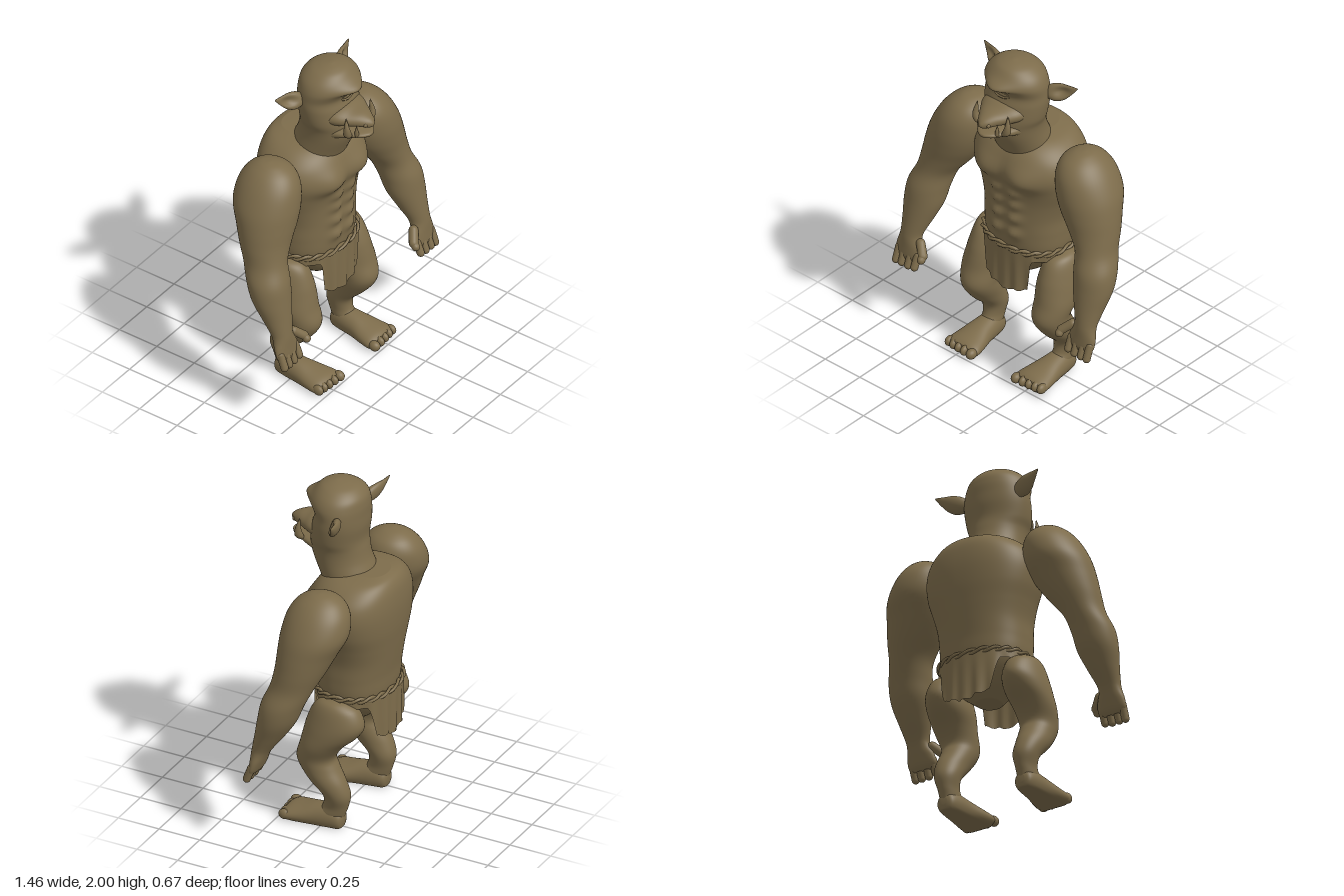
import * as THREE from 'three';

const skin = new THREE.MeshStandardMaterial({ color: 0x7d6c4b, side: THREE.DoubleSide });
skin.name = 'olive brown';

const bump = (d, s) => Math.exp(-(d * d) / (s * s));
const spow = (v, p) => Math.sign(v) * Math.pow(Math.abs(v), p);
const sym = (rows) => rows.map(([y, w, z0, z1]) => [y, -w, w, z0, z1]);

function grid(points, rings, seg, capped) {
  const idx = [];
  for (let i = 0; i < rings - 1; i++) for (let j = 0; j < seg; j++) {
    const a = i * seg + j, b = i * seg + (j + 1) % seg, c = a + seg, d = b + seg;
    idx.push(a, c, b, b, c, d);
  }
  if (capped) for (let j = 0; j < seg; j++) {
    const k = (j + 1) % seg, t = (rings - 1) * seg, n = rings * seg;
    idx.push(n, j, k, n + 1, t + k, t + j);
  }
  const g = new THREE.BufferGeometry();
  g.setAttribute('position', new THREE.Float32BufferAttribute(points.flat(), 3));
  g.setIndex(idx);
  g.computeVertexNormals();
  return g;
}

// Smooth skin over rows of [height, x min, x max, depth min, depth max]
function loft(rows, { seg = 40, steps = 5, n = 2, axis = 'y', shape = (p) => p } = {}) {
  if (rows[0][0] > rows[rows.length - 1][0]) rows = [...rows].reverse();
  const at = (i) => rows[Math.max(0, Math.min(rows.length - 1, i))];
  const pts = [], count = (rows.length - 1) * steps + 1;
  const place = (x, h, d) => shape(axis === 'y' ? [x, h, d] : [x, d, h]);
  const sample = (k) => {
    const i = Math.min(Math.floor(k / steps), rows.length - 2), t = k / steps - i;
    return at(i).map((b, q) => {
      const a = at(i - 1)[q], c = at(i + 1)[q], d = at(i + 2)[q];
      return b + 0.5 * t * (c - a + t * (2 * a - 5 * b + 4 * c - d + t * (3 * (b - c) + d - a)));
    });
  };
  for (let k = 0; k < count; k++) {
    const [h, x0, x1, d0, d1] = sample(k);
    for (let j = 0; j < seg; j++) {
      const a = (j / seg) * Math.PI * 2, s = spow(Math.sin(a), 2 / n);
      const x = (x0 + x1) / 2 + (x1 - x0) / 2 * spow(Math.cos(a), 2 / n);
      pts.push(place(x, h, (d0 + d1) / 2 + (d1 - d0) / 2 * (axis === 'y' ? s : -s)));
    }
  }
  for (const r of [rows[0], rows[rows.length - 1]]) pts.push(place((r[1] + r[2]) / 2, r[0], (r[3] + r[4]) / 2));
  return grid(pts, count, seg, true);
}

function mirrored(geo) {
  const g = geo.clone().scale(-1, 1, 1), ix = g.index.array;
  for (let i = 0; i < ix.length; i += 3) [ix[i], ix[i + 1]] = [ix[i + 1], ix[i]];
  g.computeVertexNormals();
  return g;
}

const ball = (x, y, z, rx, ry, rz) => new THREE.SphereGeometry(1, 20, 14).scale(rx, ry, rz).translate(x, y, z);
const UP = new THREE.Vector3(0, 1, 0);
function capsule(a, b, r) {
  const p = new THREE.Vector3(...a), q = new THREE.Vector3(...b), d = q.clone().sub(p);
  return new THREE.CapsuleGeometry(r, d.length(), 6, 14)
    .applyQuaternion(new THREE.Quaternion().setFromUnitVectors(UP, d.clone().normalize()))
    .translate(...p.add(q).multiplyScalar(0.5).toArray());
}
const tube = (pts, r) => new THREE.TubeGeometry(
  new THREE.CatmullRomCurve3(pts.map((p) => new THREE.Vector3(...p))), 24, r, 8);

export function createModel() {
  const model = new THREE.Group();
  const add = (name, geo) => {
    const m = new THREE.Mesh(geo, skin);
    m.name = name;
    model.add(m);
  };
  const pair = (name, geo) => { add('left' + name, geo); add('right' + name, mirrored(geo)); };

  // Torso with chest and stomach muscles
  add('torso', loft(sym([
    [0.58, 0.07, -0.13, 0.02], [0.64, 0.15, -0.2, 0.06], [0.72, 0.22, -0.25, 0.1], [0.8, 0.255, -0.275, 0.125],
    [0.9, 0.262, -0.285, 0.13], [1.0, 0.266, -0.3, 0.13], [1.1, 0.29, -0.315, 0.13], [1.2, 0.322, -0.328, 0.14],
    [1.3, 0.335, -0.333, 0.155], [1.38, 0.315, -0.328, 0.14], [1.44, 0.265, -0.315, 0.11], [1.48, 0.2, -0.29, 0.06],
    [1.5, 0.11, -0.25, 0],
  ]), {
    seg: 96, steps: 8, n: 2.3, shape: ([x, y, z]) => {
      if (z < 0) return [x, y, z];
      const ax = Math.abs(x);
      let d = 0.045 * bump(ax - 0.13, 0.11) * bump(y - 1.28, y < 1.28 ? 0.06 : 0.1);
      for (const h of [0.9, 1.0, 1.09, 1.17]) d += 0.024 * bump(ax - 0.06, 0.045) * bump(y - h, 0.035);
      return [x, y, z + d * Math.min(1, z / 0.06)];
    },
  }));

  // Neck and skull with an overhanging brow
  add('headAndNeck', loft(sym([
    [1.36, 0.165, -0.15, 0.1], [1.45, 0.165, -0.17, 0.14], [1.55, 0.16, -0.135, 0.185], [1.62, 0.165, -0.12, 0.2],
    [1.68, 0.185, -0.112, 0.195], [1.76, 0.195, -0.12, 0.18], [1.82, 0.193, -0.12, 0.165], [1.88, 0.187, -0.118, 0.19],
    [1.93, 0.162, -0.105, 0.18], [1.97, 0.115, -0.065, 0.15], [1.99, 0.065, -0.01, 0.11], [2.0, 0.01, 0.045, 0.065],
  ]), {
    seg: 72, steps: 8, shape: ([x, y, z]) => [x, y,
      z > 0.05 ? z + 0.05 * bump(x, 0.09) * bump(y - 1.89, y < 1.89 ? 0.02 : 0.035) * Math.min(1, (z - 0.05) / 0.06) : z],
  }));

  // Snout, lower jaw and nostrils
  add('snout', loft([
    [0.05, -0.16, 0.16, 1.63, 1.79], [0.16, -0.135, 0.135, 1.655, 1.78], [0.22, -0.1, 0.1, 1.665, 1.762],
    [0.27, -0.066, 0.066, 1.672, 1.75], [0.31, -0.038, 0.038, 1.675, 1.732], [0.33, -0.016, 0.016, 1.685, 1.715],
    [0.336, -0.003, 0.003, 1.697, 1.703],
  ], { axis: 'z' }));
  add('lowerJaw', loft([
    [0.08, -0.14, 0.14, 1.55, 1.66], [0.18, -0.115, 0.115, 1.585, 1.655], [0.24, -0.088, 0.088, 1.603, 1.65],
    [0.29, -0.06, 0.06, 1.612, 1.645], [0.318, -0.025, 0.025, 1.618, 1.638], [0.324, -0.004, 0.004, 1.625, 1.63],
  ], { axis: 'z', n: 2.4 }));
  pair('Nostril', ball(0.034, 1.7, 0.303, 0.012, 0.014, 0.014));

  // Tusks and small teeth
  pair('Tusk', loft([
    [1.625, 0.07, 0.105, 0.215, 0.25], [1.65, 0.08, 0.13, 0.215, 0.262], [1.69, 0.098, 0.132, 0.222, 0.258],
    [1.73, 0.104, 0.122, 0.226, 0.244], [1.76, 0.109, 0.111, 0.23, 0.232],
  ], { seg: 14 }));
  pair('Tooth', loft([
    [1.63, 0.05, 0.075, 0.255, 0.28], [1.66, 0.055, 0.075, 0.258, 0.28], [1.7, 0.066, 0.068, 0.268, 0.27],
  ], { seg: 12 }));

  // Single eye with lids
  add('eye', ball(0, 1.828, 0.155, 0.05, 0.018, 0.02));
  add('upperLid', tube([[-0.065, 1.828, 0.15], [-0.03, 1.844, 0.168], [0, 1.848, 0.172], [0.03, 1.844, 0.168], [0.065, 1.828, 0.15]], 0.007));
  add('lowerLid', tube([[-0.065, 1.826, 0.15], [-0.03, 1.811, 0.166], [0, 1.808, 0.169], [0.03, 1.811, 0.166], [0.065, 1.826, 0.15]], 0.006));

  // Leaf-shaped ears, hollowed at the front
  const ear = loft([
    [0, -0.03, 0.035, -0.025, 0.025], [0.05, -0.042, 0.058, -0.032, 0.03], [0.1, -0.037, 0.055, -0.03, 0.022],
    [0.15, -0.02, 0.033, -0.018, 0.012], [0.19, -0.006, 0.009, -0.006, 0.004], [0.2, -0.001, 0.001, -0.001, 0.001],
  ], { seg: 28, shape: ([x, y, z]) => [x, y, z > 0 ? z - 0.03 * bump(x - 0.008, 0.025) * bump(y - 0.1, 0.05) : z] });
  ear.applyQuaternion(new THREE.Quaternion().setFromUnitVectors(UP, new THREE.Vector3(0.172, 0.068, -0.055).normalize()));
  pair('Ear', ear.translate(0.16, 1.815, -0.022));

  // Arms down to the palms
  pair('Arm', loft([
    [1.522, 0.4, 0.42, -0.07, -0.05], [1.51, 0.345, 0.465, -0.13, 0.01], [1.47, 0.288, 0.525, -0.19, 0.075],
    [1.4, 0.262, 0.583, -0.23, 0.12], [1.3, 0.268, 0.635, -0.235, 0.14], [1.2, 0.31, 0.66, -0.19, 0.142],
    [1.1, 0.38, 0.675, -0.145, 0.14], [1.0, 0.455, 0.687, -0.095, 0.152], [0.9, 0.48, 0.722, -0.05, 0.188],
    [0.8, 0.495, 0.727, -0.01, 0.205], [0.7, 0.53, 0.71, 0.055, 0.22], [0.62, 0.56, 0.698, 0.115, 0.232],
    [0.58, 0.56, 0.7, 0.14, 0.237], [0.53, 0.54, 0.712, 0.162, 0.24], [0.48, 0.535, 0.712, 0.185, 0.243],
    [0.455, 0.56, 0.69, 0.205, 0.24],
  ], { seg: 48 }));
  [0.557, 0.603, 0.649, 0.69].forEach((x, i) =>
    pair('Finger' + (i + 1), capsule([x, 0.5, 0.215], [x, 0.425 + (i === 0 ? 0.008 : 0), 0.243], 0.022)));
  pair('Thumb', capsule([0.55, 0.575, 0.2], [0.503, 0.53, 0.235], 0.026));
  pair('ThumbTip', capsule([0.503, 0.53, 0.235], [0.5, 0.513, 0.252], 0.023));

  // Bent legs
  pair('Leg', loft([
    [0.785, 0.22, 0.28, -0.1, -0.05], [0.77, 0.185, 0.315, -0.15, 0.02], [0.73, 0.16, 0.34, -0.205, 0.065],
    [0.65, 0.14, 0.362, -0.235, 0.1], [0.58, 0.135, 0.373, -0.2, 0.118], [0.5, 0.148, 0.375, -0.115, 0.135],
    [0.42, 0.156, 0.36, -0.065, 0.158], [0.36, 0.162, 0.355, -0.085, 0.142], [0.28, 0.177, 0.35, -0.13, 0.08],
    [0.2, 0.187, 0.33, -0.155, 0.003], [0.13, 0.2, 0.31, -0.142, 0.003], [0.08, 0.2, 0.31, -0.125, 0.04],
    [0.03, 0.21, 0.3, -0.11, 0.04],
  ], { seg: 48 }));

  // Flat-soled feet and toes
  pair('Foot', loft([
    [-0.12, 0.235, 0.275, 0.03, 0.07], [-0.105, 0.205, 0.305, -0.01, 0.1], [-0.05, 0.19, 0.318, -0.025, 0.125],
    [0.04, 0.175, 0.33, -0.025, 0.115], [0.12, 0.152, 0.345, -0.02, 0.095], [0.19, 0.138, 0.354, -0.015, 0.078],
    [0.22, 0.15, 0.345, -0.005, 0.062],
  ], { axis: 'z', shape: ([x, y, z]) => [x, Math.max(0.002, y), z] }));
  [0.163, 0.212, 0.255, 0.296, 0.333].forEach((x, i) =>
    pair('Toe' + (i + 1), ball(x, 0.034, 0.222 - 0.004 * i, i ? 0.022 : 0.028, 0.03, 0.034)));

  // Pleated loincloth, long at front and back and short over the hips
  const seg = 144, rows = 9, cloth = [];
  for (let i = 0; i < rows; i++) for (let j = 0; j < seg; j++) {
    const a = (j / seg) * Math.PI * 2, c = spow(Math.cos(a), 0.87), s = spow(Math.sin(a), 0.87);
    const x = 0.267 * c, back = s < 0;
    const side = THREE.MathUtils.smoothstep(Math.abs(x), 0.145, back ? 0.2 : 0.17);
    const hem = (back ? 0.515 : 0.512) + 0.035 * Math.min(1, Math.abs(x) / 0.13) + 0.006 * Math.cos(x * 90);
    const low = hem + side * (0.745 - hem);
    const t = 1 - i / (rows - 1), pleat = 0.008 * t * Math.cos(x * 75) * Math.abs(s);
    cloth.push([x, 0.8 - t * (0.8 - low), -0.075 + 0.216 * s + (back ? -pleat : pleat)]);
  }
  add('loincloth', grid(cloth, rows, seg, false));

  // Twisted rope belt
  [0, 1].forEach((k) => {
    const pts = [];
    for (let j = 0; j < 144; j++) {
      const a = (j / 144) * Math.PI * 2, w = 11 * a + k * Math.PI, r = 0.008 * Math.sin(w);
      pts.push(new THREE.Vector3((0.264 + r) * spow(Math.cos(a), 0.87), 0.795 + 0.011 * Math.cos(w),
        -0.075 + (0.213 + r) * spow(Math.sin(a), 0.87)));
    }
    add('beltStrand' + (k + 1), new THREE.TubeGeometry(new THREE.CatmullRomCurve3(pts, true), 220, 0.009, 8, true));
  });

  return model;
}
